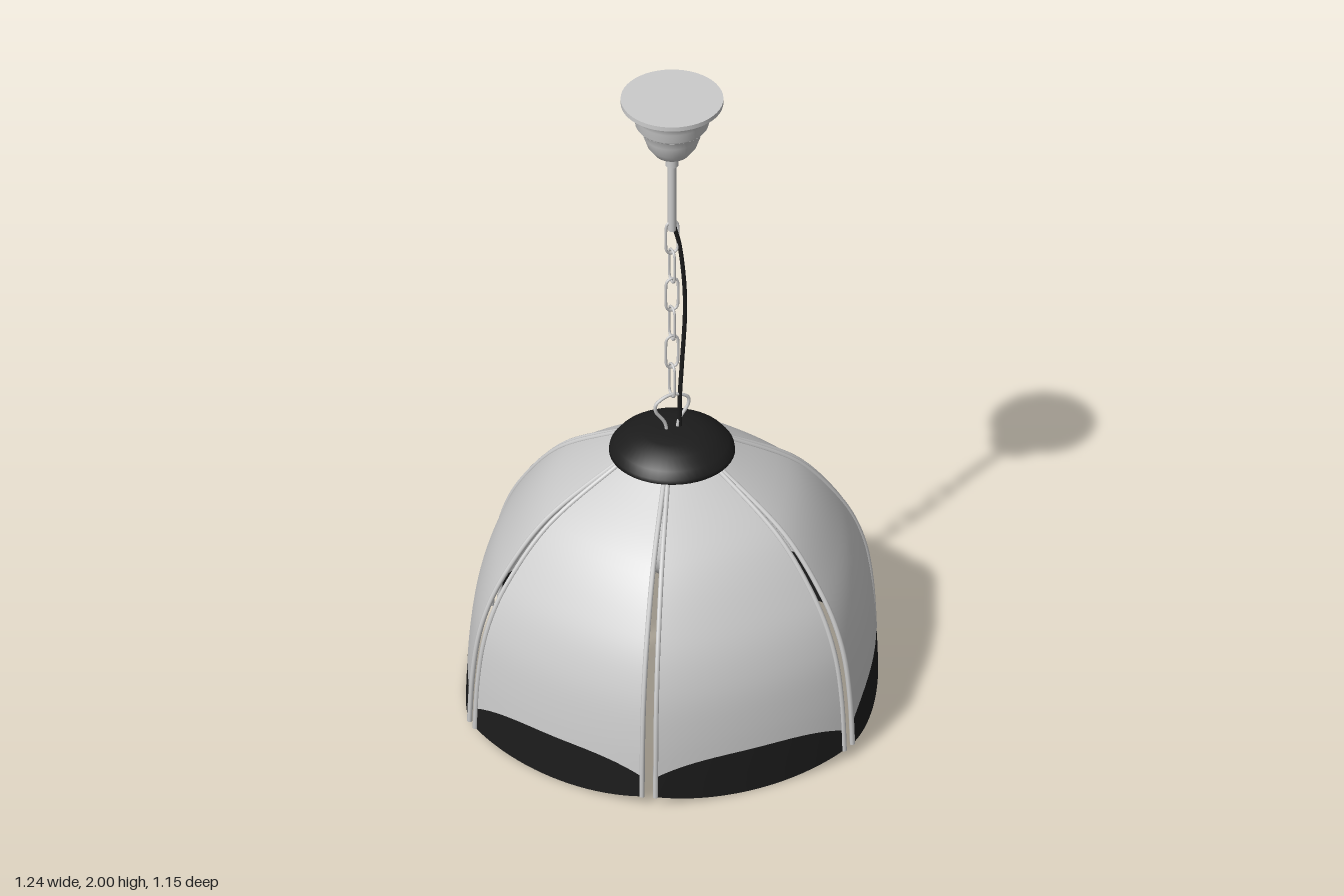
import * as THREE from 'three';

const grey = new THREE.MeshStandardMaterial({ color: 0xcccccc });
const greyThin = new THREE.MeshStandardMaterial({ color: 0xcccccc, side: THREE.DoubleSide });
const black = new THREE.MeshStandardMaterial({ color: 0x1c1c1c });
const blackThin = new THREE.MeshStandardMaterial({ color: 0x1c1c1c, side: THREE.DoubleSide });

const v2 = (x, y) => new THREE.Vector2(x, y);
const v3 = (x, y, z = 0) => new THREE.Vector3(x, y, z);

function add(parent, name, geometry, material) {
  const mesh = new THREE.Mesh(geometry, material);
  mesh.name = name;
  parent.add(mesh);
  return mesh;
}

// Lathe with a crisp edge at every profile corner flagged by a repeated point
function lathe(points, segments = 48) {
  return new THREE.LatheGeometry(points.map(([r, y]) => v2(r, y)), segments);
}

// Meridian of the shade along a panel's side edge: (radius, height)
const meridian = new THREE.SplineCurve([
  [0.617, 0], [0.606, 0.2], [0.577, 0.36], [0.51, 0.505],
  [0.38, 0.664], [0.18, 0.792], [0.13, 0.812],
].map(([r, y]) => v2(r, y)));

// Curve parameter at a given height
function paramAt(y) {
  let lo = 0, hi = 1;
  for (let i = 0; i < 30; i++) {
    const mid = (lo + hi) / 2;
    if (meridian.getPoint(mid).y < y) lo = mid; else hi = mid;
  }
  return lo;
}

// Point on a panel: q runs -1..1 across it, t up the meridian
const halfAngle = THREE.MathUtils.degToRad(28.2);
function panelPoint(q, t) {
  const p = meridian.getPoint(t);
  return v3(p.x * Math.sin(q * halfAngle), p.y, p.x * (0.935 - 0.054 * q * q));
}

// Grid surface between two boundary curves of t
function panelSurface(tLow, tHigh, rows, cols = 20) {
  const pos = [], index = [];
  for (let j = 0; j <= rows; j++) {
    for (let i = 0; i <= cols; i++) {
      const q = (2 * i) / cols - 1;
      const t = THREE.MathUtils.lerp(tLow(q), tHigh(q), j / rows);
      pos.push(...panelPoint(q, t).toArray());
      if (i < cols && j < rows) {
        const a = j * (cols + 1) + i, b = a + cols + 1;
        index.push(a, a + 1, b + 1, a, b + 1, b);
      }
    }
  }
  const g = new THREE.BufferGeometry();
  g.setAttribute('position', new THREE.Float32BufferAttribute(pos, 3));
  g.setIndex(index);
  g.computeVertexNormals();
  return g;
}

function createShade() {
  const shade = new THREE.Group();
  shade.name = 'shade';
  const hem = (q) => paramAt(0.003 + 0.032 * q * q);
  const bandTop = (q) => paramAt(0.14 - 0.04 * Math.abs(q) ** 3);
  const glass = panelSurface(bandTop, () => 1, 32);
  const band = panelSurface(hem, bandTop, 4);
  const trims = [-1, 1].map((q) => {
    const pts = [];
    for (let i = 0; i <= 20; i++) pts.push(panelPoint(q, THREE.MathUtils.lerp(hem(1), 1, i / 20)));
    return new THREE.TubeGeometry(new THREE.CatmullRomCurve3(pts), 40, 0.0075, 8);
  });
  for (let k = 0; k < 6; k++) {
    const panel = new THREE.Group();
    panel.name = 'shadePanel';
    panel.rotation.y = (k * Math.PI) / 3;
    add(panel, 'panelBody', glass, greyThin);
    add(panel, 'panelBand', band, blackThin);
    trims.forEach((t) => add(panel, 'panelTrim', t, grey));
    shade.add(panel);
  }
  return shade;
}

// Rounded chain link, long axis vertical
function linkGeometry() {
  const r = 0.018, h = 0.036, pts = [];
  for (let i = 0; i < 16; i++) {
    const a = ((i + 0.5) / 16) * Math.PI * 2;
    pts.push(v3(r * Math.cos(a), r * Math.sin(a) + (a < Math.PI ? h : -h)));
  }
  return new THREE.TubeGeometry(new THREE.CatmullRomCurve3(pts, true), 40, 0.004, 6, true);
}

export function createModel() {
  const model = new THREE.Group();
  model.name = 'pendantLamp';

  // Ceiling canopy and rod
  add(model, 'canopyPlate', new THREE.CylinderGeometry(0.145, 0.145, 0.014, 48), grey).position.y = 1.993;
  add(model, 'canopyCollar', lathe([[0.098, 1.91], [0.104, 1.918], [0.106, 1.945], [0.113, 1.968], [0.128, 1.987]]), greyThin);
  add(model, 'canopyCup', lathe([[0, 1.803], [0.025, 1.804], [0.05, 1.818], [0.07, 1.845], [0.082, 1.88], [0.088, 1.91], [0.1, 1.912]]), greyThin);
  add(model, 'rodCollar', new THREE.CylinderGeometry(0.018, 0.018, 0.035, 20), grey).position.y = 1.79;
  add(model, 'rod', new THREE.CylinderGeometry(0.012, 0.012, 0.225, 16), grey).position.y = 1.665;

  // Chain of alternating links
  const link = linkGeometry();
  for (let i = 0; i < 6; i++) {
    const m = add(model, 'chainLink', link, grey);
    m.position.y = 1.527 - i * 0.0975;
    m.rotation.y = i % 2 ? Math.PI / 2 : 0;
  }

  // Hanging loop above the cap
  const loop = [
    [-0.015, 0.865], [-0.022, 0.9], [-0.05, 0.945], [-0.05, 0.967], [-0.025, 0.985],
    [0, 0.99], [0.025, 0.985], [0.05, 0.967], [0.05, 0.945], [0.022, 0.9], [0.015, 0.865],
  ].map(([x, y]) => v3(x, y));
  add(model, 'hangingLoop', new THREE.TubeGeometry(new THREE.CatmullRomCurve3(loop), 60, 0.005, 8), grey);

  // Slack power cable
  const cable = [[0.006, 1.565], [0.022, 1.5], [0.037, 1.37], [0.04, 1.26], [0.03, 1.08], [0.024, 0.97], [0.024, 0.865]]
    .map(([x, y]) => v3(x, y));
  add(model, 'cable', new THREE.TubeGeometry(new THREE.CatmullRomCurve3(cable), 48, 0.0065, 8), black);

  // Domed cap holding the panels
  add(model, 'cap', lathe([
    [0, 0.798], [0.17, 0.798], [0.178, 0.803], [0.176, 0.815], [0.16, 0.835],
    [0.125, 0.86], [0.085, 0.874], [0.04, 0.878], [0, 0.879],
  ]), black);

  // Lamp holder and bulb
  add(model, 'lampHolder', new THREE.CylinderGeometry(0.05, 0.055, 0.16, 32), black).position.y = 0.72;
  add(model, 'bulb', lathe([
    [0, 0.39], [0.035, 0.396], [0.065, 0.415], [0.086, 0.45], [0.09, 0.485],
    [0.08, 0.53], [0.058, 0.58], [0.042, 0.615], [0.038, 0.65],
  ], 32), greyThin);

  model.add(createShade());
  return model;
}
